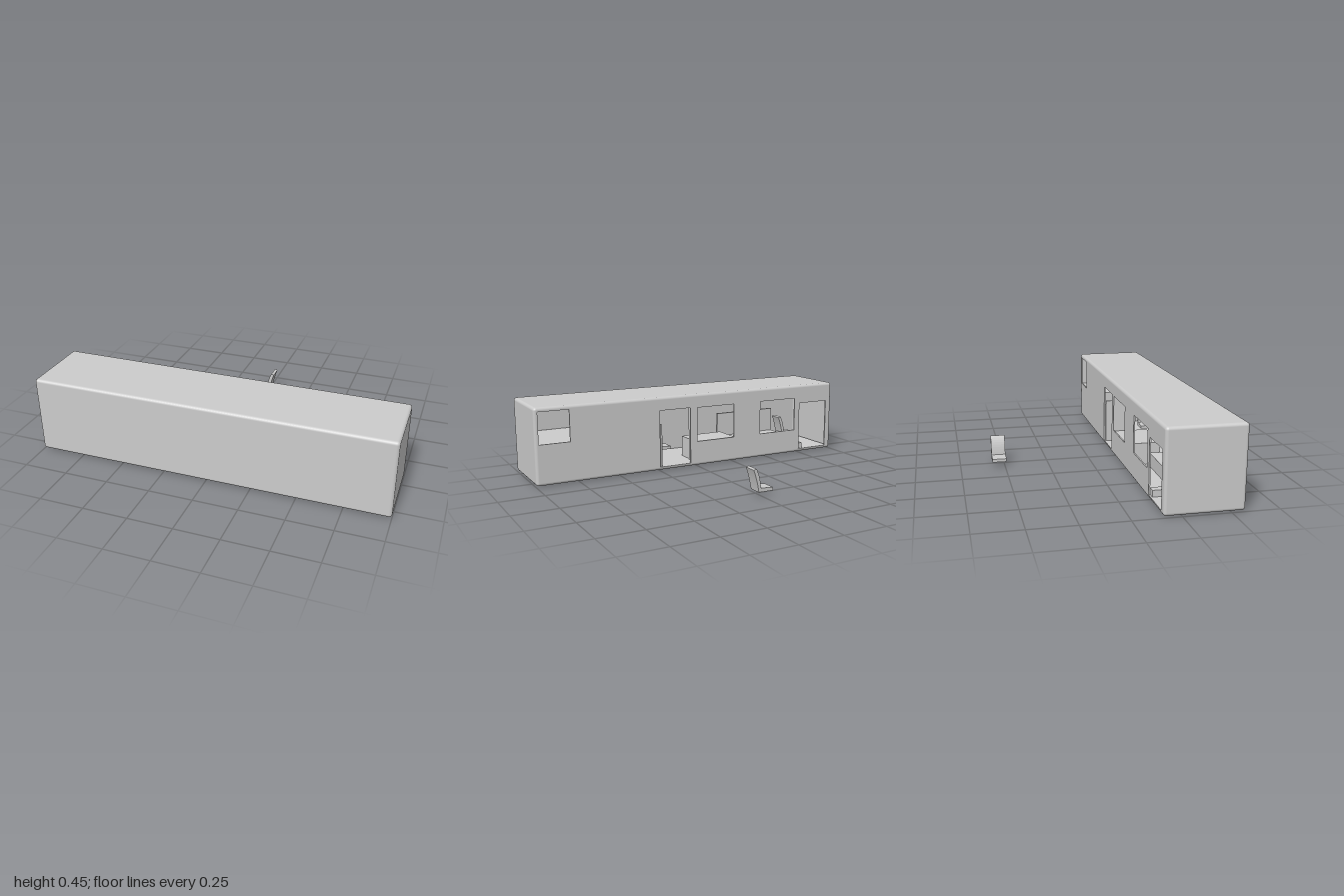
import * as THREE from 'three';
import { RoundedBoxGeometry } from 'three/addons/geometries/RoundedBoxGeometry.js';

const material = new THREE.MeshStandardMaterial({ color: 0xcccccc });
const openMaterial = new THREE.MeshStandardMaterial({ color: 0xcccccc, side: THREE.DoubleSide });

// Body extents
const Y0 = 0.006, Y1 = 0.446, Z0 = 0.155, Z1 = 0.57, R = 0.017;

function add(group, name, geometry, mat = material) {
  const mesh = new THREE.Mesh(geometry, mat);
  mesh.name = name;
  group.add(mesh);
  return mesh;
}

// Box given by its low and high limits on each axis
function block(group, name, [x0, x1], [y0, y1], [z0, z1]) {
  const mesh = add(group, name, new THREE.BoxGeometry(x1 - x0, y1 - y0, z1 - z0));
  mesh.position.set((x0 + x1) / 2, (y0 + y1) / 2, (z0 + z1) / 2);
  return mesh;
}

function rectangle(Type, x0, x1, y0, y1) {
  return new Type([[x0, y0], [x1, y0], [x1, y1], [x0, y1]].map(p => new THREE.Vector2(...p)));
}

// Rounded box without its flat back side
function shellGeometry() {
  const depth = Z1 - Z0;
  const source = new RoundedBoxGeometry(2, Y1 - Y0, depth, 4, R);
  const box = source.index ? source.toNonIndexed() : source;
  const p = box.attributes.position, n = box.attributes.normal;
  const positions = [], normals = [];
  for (let i = 0; i < p.count; i += 3) {
    if ([0, 1, 2].every(k => p.getZ(i + k) < -depth / 2 + 1e-4)) continue;
    for (let k = i; k < i + 3; k++) {
      positions.push(p.getX(k), p.getY(k), p.getZ(k));
      normals.push(n.getX(k), n.getY(k), n.getZ(k));
    }
  }
  const geometry = new THREE.BufferGeometry();
  geometry.setAttribute('position', new THREE.Float32BufferAttribute(positions, 3));
  geometry.setAttribute('normal', new THREE.Float32BufferAttribute(normals, 3));
  return geometry;
}

// Side wall with window and door openings
function sideWallGeometry() {
  const wall = rectangle(THREE.Shape, -1 + R, 1 - R, Y0 + R, Y1 - R);
  const openings = [
    [0.80, 0.978, 0.24, 0.422],    // rear window
    [0.05, 0.252, 0.025, 0.366],   // middle door
    [-0.253, 0.004, 0.155, 0.363], // windows
    [-0.708, -0.445, 0.155, 0.363],
    [-0.957, -0.746, 0.025, 0.328] // front door
  ];
  for (const o of openings) wall.holes.push(rectangle(THREE.Path, ...o));
  return new THREE.ExtrudeGeometry(wall, { depth: 0.008, bevelEnabled: false });
}

// Seat with a curved back, facing -x
function seatGeometry(width) {
  const s = new THREE.Shape();
  s.moveTo(-0.065, 0);
  s.lineTo(0.022, 0);
  s.quadraticCurveTo(0.034, 0.07, 0.055, 0.125);
  s.lineTo(0.038, 0.13);
  s.quadraticCurveTo(0.014, 0.085, 0.01, 0.022);
  s.lineTo(-0.065, 0.018);
  return new THREE.ExtrudeGeometry(s, { depth: width, bevelEnabled: false, curveSegments: 8 });
}

export function createModel() {
  const model = new THREE.Group();
  model.name = 'bus';

  // Hollow body
  const shell = add(model, 'bodyShell', shellGeometry(), openMaterial);
  shell.position.set(0, (Y0 + Y1) / 2, (Z0 + Z1) / 2);
  add(model, 'sideWall', sideWallGeometry()).position.z = Z0;

  // Interior
  const interior = new THREE.Group();
  interior.name = 'interior';
  model.add(interior);
  block(interior, 'floor', [-0.98, 0.98], [0.015, 0.024], [0.163, 0.56]);
  block(interior, 'rearCompartment', [0.66, 0.985], [0.024, 0.235], [0.165, 0.56]);
  block(interior, 'doorLeaf', [0.235, 0.245], [0.024, 0.28], [0.163, 0.35]);
  block(interior, 'partition', [0.006, 0.014], [0.024, 0.40], [0.163, 0.25]);
  block(interior, 'raisedPlatform', [-0.27, 0.006], [0.024, 0.15], [0.165, 0.36]);
  block(interior, 'bench', [-0.72, -0.3], [0.024, 0.1], [0.29, 0.45]);
  block(interior, 'benchBack', [-0.72, -0.3], [0.024, 0.25], [0.45, 0.465]);
  block(interior, 'entranceStep', [-0.78, -0.735], [0.024, 0.06], [0.165, 0.25]);

  // Seats: driver, passengers, and a separate one beside the body
  const seats = [
    ['driverSeat', -0.82, 0.06, 0.42],
    ['passengerSeat', 0.12, 0.06, 0.42],
    ['passengerSeat', 0.4, 0.06, 0.42],
    ['looseSeat', 0, 0.025, -0.57]
  ];
  for (const [name, x, y, z] of seats) {
    add(model, name, seatGeometry(0.08)).position.set(x, y, z);
  }

  // Wheels showing just below the floor
  for (const [x, r] of [[-0.74, 0.05], [0.78, 0.08]]) {
    const wheel = add(model, 'wheel', new THREE.CylinderGeometry(r, r, 0.085, 32));
    wheel.rotation.x = Math.PI / 2;
    wheel.position.set(x, r, 0.362);
  }
  return model;
}
